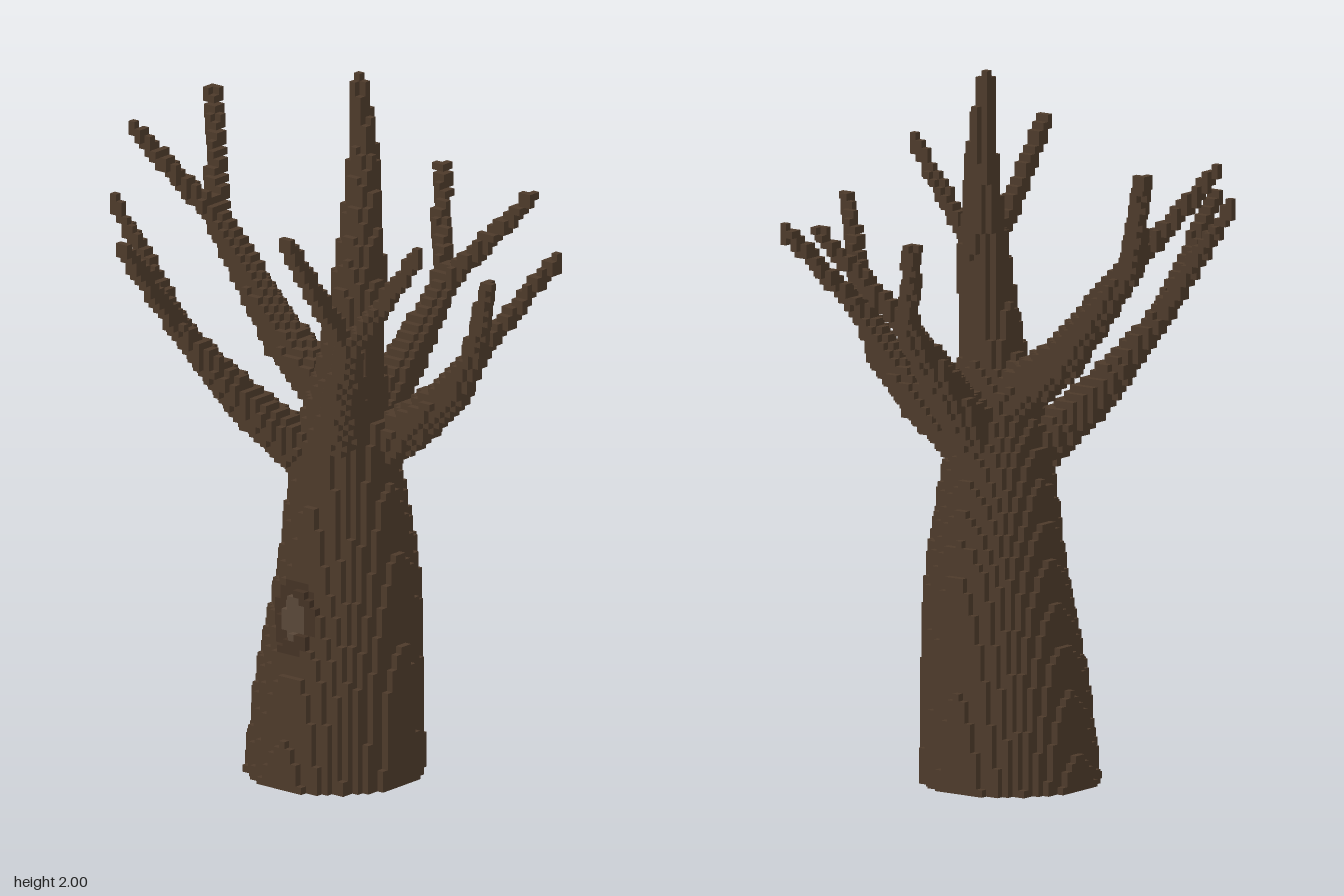
import * as THREE from 'three';

const S = 0.02; // edge of one cube
const V = (a) => new THREE.Vector3(...a);

// Trunk cross-sections: height, centre x, centre z, radius
const TRUNK = [
  [0, -0.02, -0.02, 0.242], [0.3, -0.005, -0.027, 0.222], [0.6, 0.01, -0.045, 0.187],
  [0.9, 0.022, -0.018, 0.143], [1.05, 0.035, -0.005, 0.115], [1.2, 0.055, 0.0, 0.085],
  [1.4, 0.068, -0.015, 0.07], [1.6, 0.055, -0.05, 0.052], [1.8, 0.032, -0.083, 0.033],
  [2, 0.01, -0.09, 0.018],
];

// Each limb: main path (ends at the fork), then the two twig tips
const LIMBS = {
  leftLimb: { path: [[0.04, 0.9, -0.05], [0.24, 1.05, -0.08], [0.36, 1.16, -0.08], [0.43, 1.27, -0.08]],
    tips: [[0.55, 1.52, -0.295], [0.62, 1.55, 0.085]] },
  rightLimb: { path: [[0, 1.06, -0.02], [-0.2, 1.2, -0.03], [-0.32, 1.34, -0.035], [-0.45, 1.5, -0.035]],
    tips: [[-0.625, 1.785, -0.225], [-0.625, 1.755, 0.11]] },
  frontLeftLimb: { path: [[0.05, 0.97, 0.04], [0.18, 1.17, 0.18], [0.3, 1.35, 0.305]],
    tips: [[0.555, 1.68, 0.31], [0.3, 1.73, 0.575]] },
  frontRightLimb: { path: [[-0.03, 0.9, 0.04], [-0.18, 1.08, 0.18], [-0.295, 1.28, 0.3]],
    tips: [[-0.535, 1.62, 0.31], [-0.3, 1.59, 0.555]] },
  backLimb: { path: [[0.03, 0.93, -0.07], [0.05, 1.14, -0.24], [0.06, 1.32, -0.39]],
    tips: [[-0.095, 1.585, -0.575], [0.265, 1.585, -0.52]] },
};

const key = (i, j, k) => ((i + 60) * 128 + j) * 128 + k + 60;

// Fill cells of the grid with a part name, keeping those already taken
function fill(cells, name, min, max, inside) {
  const p = new THREE.Vector3();
  const lo = min.map((v) => Math.floor(v / S)), hi = max.map((v) => Math.ceil(v / S));
  for (let i = lo[0]; i < hi[0]; i++)
    for (let j = Math.max(0, lo[1]); j < Math.min(100, hi[1]); j++)
      for (let k = lo[2]; k < hi[2]; k++) {
        p.set(i + 0.5, j + 0.5, k + 0.5).multiplyScalar(S);
        const id = key(i, j, k);
        if (!cells.has(id) && inside(p)) cells.set(id, { name, at: [i, j, k] });
      }
}

function inTrunk(p) {
  const n = TRUNK.findIndex((s) => s[0] > p.y);
  const a = TRUNK[n - 1], b = TRUNK[n], t = (p.y - a[0]) / (b[0] - a[0]);
  const [, x, z, r] = a.map((v, i) => v + (b[i] - v) * t);
  return Math.hypot(p.x - x, p.z - z) < r;
}

// Tapered round rod between two points
function rod(cells, name, a, b, ra, rb) {
  const A = V(a), D = V(b).sub(A), q = new THREE.Vector3();
  const m = Math.max(ra, rb);
  fill(cells, name, a.map((v, i) => Math.min(v, b[i]) - m), a.map((v, i) => Math.max(v, b[i]) + m), (p) => {
    const t = THREE.MathUtils.clamp(q.copy(p).sub(A).dot(D) / D.lengthSq(), 0, 1);
    return q.copy(A).addScaledVector(D, t).distanceTo(p) < ra + (rb - ra) * t;
  });
}

// Outer cube faces of one part
function shell(cells, name) {
  const pos = [], nor = [], idx = [];
  for (const cell of cells.values()) {
    if (cell.name !== name) continue;
    for (let ax = 0; ax < 3; ax++)
      for (const dir of [-1, 1]) {
        const next = [...cell.at];
        next[ax] += dir;
        if (cells.has(key(...next))) continue;
        const u = (ax + 1) % 3, v = (ax + 2) % 3, base = pos.length / 3;
        for (const [du, dv] of [[0, 0], [1, 0], [1, 1], [0, 1]]) {
          const c = [...cell.at];
          c[ax] += dir > 0 ? 1 : 0;
          c[u] += du;
          c[v] += dv;
          pos.push(c[0] * S, c[1] * S, c[2] * S);
          const n = [0, 0, 0];
          n[ax] = dir;
          nor.push(...n);
        }
        const order = dir > 0 ? [0, 1, 2, 0, 2, 3] : [0, 2, 1, 0, 3, 2];
        idx.push(...order.map((o) => base + o));
      }
  }
  const g = new THREE.BufferGeometry();
  g.setAttribute('position', new THREE.Float32BufferAttribute(pos, 3));
  g.setAttribute('normal', new THREE.Float32BufferAttribute(nor, 3));
  g.setIndex(idx);
  return g;
}

export function createModel() {
  const cells = new Map();
  const min = [-0.3, 0, -0.3], max = [0.3, 2, 0.3];

  // Knot on the front of the trunk: pale heart, dark ring
  const knot = (r) => (p) => p.z > 0.06 && Math.hypot(p.x + 0.02, (p.y - 0.48) * 0.75) < r && inTrunk(p);
  fill(cells, 'knotHeart', min, max, knot(0.042));
  fill(cells, 'knotRing', min, max, knot(0.075));

  // Trunk, tapering into the top spike
  fill(cells, 'trunk', min, max, inTrunk);

  // Limbs with forked twigs
  for (const [name, { path, tips }] of Object.entries(LIMBS)) {
    const n = path.length - 1;
    const radius = (i) => 0.072 - (0.072 - 0.031) * (i / n);
    for (let i = 0; i < n; i++) rod(cells, name, path[i], path[i + 1], radius(i), radius(i + 1));
    for (const tip of tips) rod(cells, name, path[n], tip, 0.027, 0.0178);
  }

  const bark = new THREE.MeshStandardMaterial({ color: 0x4d3a2a });
  const special = {
    knotHeart: new THREE.MeshStandardMaterial({ color: 0x594738 }),
    knotRing: new THREE.MeshStandardMaterial({ color: 0x443224 }),
  };
  const group = new THREE.Group();
  group.name = 'bareTree';
  for (const name of ['trunk', 'knotHeart', 'knotRing', ...Object.keys(LIMBS)]) {
    const mesh = new THREE.Mesh(shell(cells, name), special[name] || bark);
    mesh.name = name;
    group.add(mesh);
  }
  return group;
}
